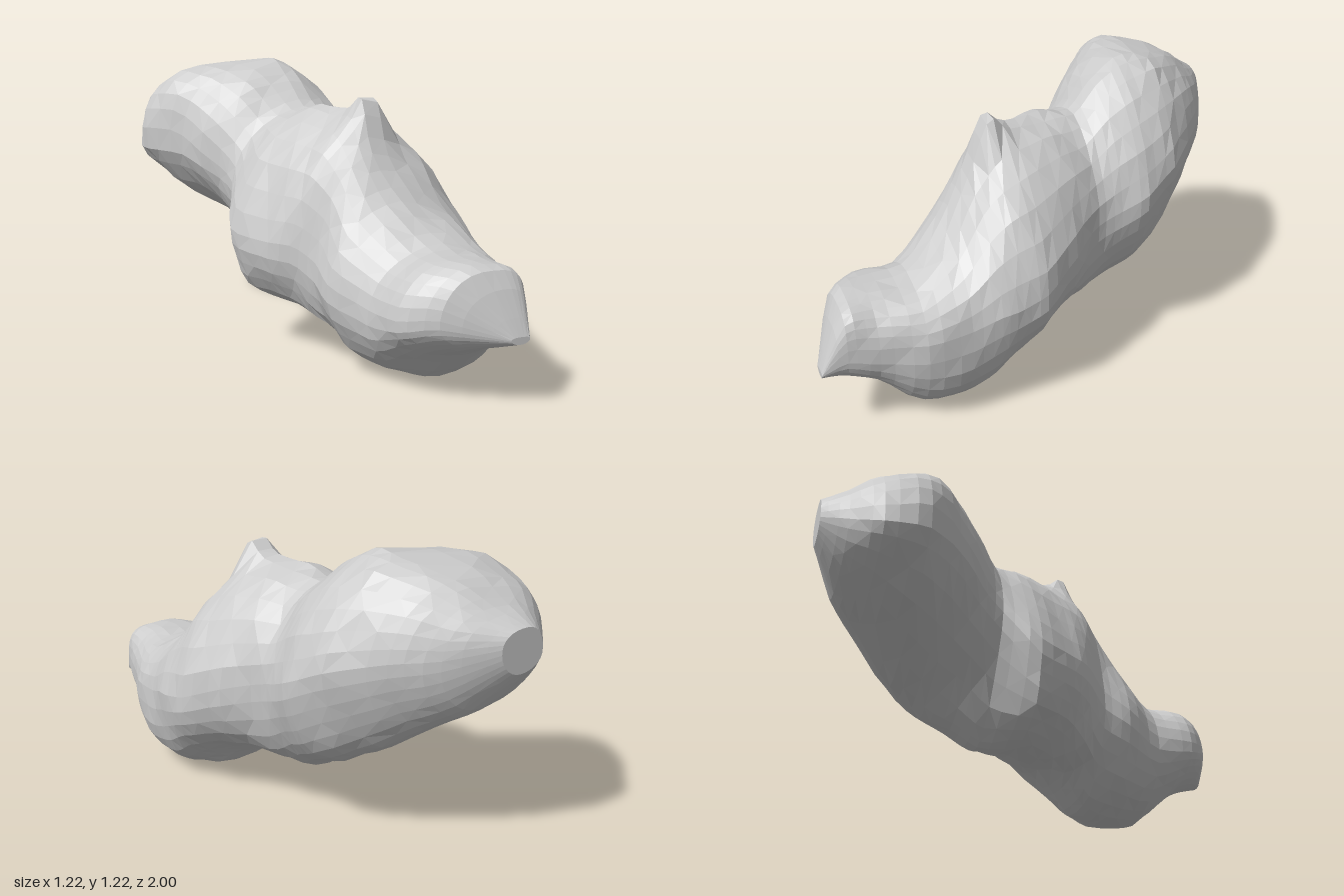
import * as THREE from 'three';

// Cross-sections from back to front, each given by its four extreme points:
// z, left x y, right x y, top x y, bottom x y
const SECTIONS = [
  [-1.0, -0.41, 0.90, -0.22, 0.93, -0.33, 1.01, -0.31, 0.83],
  [-0.9, -0.50, 0.87, -0.02, 0.88, -0.25, 1.07, -0.22, 0.67],
  [-0.78, -0.59, 0.83, 0.13, 0.85, -0.16, 1.15, -0.10, 0.57],
  [-0.6, -0.60, 0.83, 0.29, 0.78, -0.04, 1.21, 0.05, 0.42],
  [-0.45, -0.48, 0.82, 0.36, 0.70, -0.02, 1.20, 0.10, 0.33],
  [-0.33, -0.38, 0.75, 0.36, 0.64, 0.00, 1.13, 0.08, 0.27],
  [-0.22, -0.31, 0.68, 0.37, 0.60, 0.03, 1.03, 0.04, 0.19],
  [-0.07, -0.36, 0.51, 0.48, 0.54, 0.06, 1.05, -0.03, 0.185],
  [0.1, -0.28, 0.49, 0.59, 0.46, 0.11, 1.05, 0.08, 0.175],
  [0.21, -0.19, 0.48, 0.60, 0.43, 0.13, 1.00, 0.19, 0.11],
  [0.3, -0.11, 0.42, 0.60, 0.42, 0.14, 0.89, 0.24, 0.03],
  [0.42, -0.10, 0.36, 0.60, 0.38, 0.22, 0.71, 0.27, 0.00],
  [0.6, 0.00, 0.30, 0.59, 0.36, 0.32, 0.57, 0.32, 0.02],
  [0.78, 0.04, 0.31, 0.54, 0.35, 0.32, 0.56, 0.33, 0.17],
  [0.9, 0.16, 0.34, 0.52, 0.36, 0.38, 0.54, 0.38, 0.23],
  [1.0, 0.41, 0.29, 0.49, 0.29, 0.45, 0.30, 0.45, 0.27],
];
// Roundness of each quarter (below 1 is squarer, above 1 flatter) along z:
// z, top right, top left, bottom left, bottom right
const ROUNDNESS = [
  [-1.0, 0.9, 0.9, 1.0, 1.0],
  [-0.78, 1.1, 0.75, 1.25, 1.0],
  [-0.5, 1.25, 0.65, 1.5, 1.0],
  [-0.2, 1.1, 1.15, 1.4, 1.0],
  [-0.07, 1.15, 1.3, 0.95, 1.0],
  [0.1, 1.25, 1.35, 0.95, 0.95],
  [0.35, 1.15, 1.05, 1.0, 0.82],
  [0.7, 0.75, 0.9, 1.0, 0.82],
  [1.0, 0.65, 1.0, 1.0, 1.0],
];
const STEPS = 3; // rings per section
const SIDES = 30;

// Smooth blend of the sections at ring parameter t
function sectionAt(t) {
  const last = SECTIONS.length - 1;
  const i = Math.min(Math.floor(t), last - 1);
  const f = t - i;
  const pick = (k) => SECTIONS[Math.max(0, Math.min(last, k))];
  return SECTIONS[i].map((b, c) => {
    const a = pick(i - 1)[c], d = pick(i + 1)[c], e = pick(i + 2)[c];
    const m0 = (d - a) * 0.35, m1 = (e - b) * 0.35;
    const f2 = f * f, f3 = f2 * f;
    return b * (2 * f3 - 3 * f2 + 1) + m0 * (f3 - 2 * f2 + f)
      + d * (3 * f2 - 2 * f3) + m1 * (f3 - f2);
  });
}

function roundnessAt(z, quarter) {
  let i = 0;
  while (i < ROUNDNESS.length - 2 && z > ROUNDNESS[i + 1][0]) i++;
  const a = ROUNDNESS[i], b = ROUNDNESS[i + 1];
  return THREE.MathUtils.mapLinear(z, a[0], b[0], a[quarter + 1], b[quarter + 1]);
}

// Four superellipse quarters joined at the extreme points
function pointOn([z, lx, ly, rx, ry, tx, ty, bx, by], j) {
  const angle = ((j + 0.5) / SIDES) * Math.PI * 2;
  const c = Math.cos(angle), s = Math.sin(angle);
  const [sx, sy] = c >= 0 ? [rx, ry] : [lx, ly];
  const [vx, vy] = s >= 0 ? [tx, ty] : [bx, by];
  const p = roundnessAt(z, Math.floor(angle / (Math.PI / 2)));
  const u = Math.abs(c) ** p, v = Math.abs(s) ** p;
  return [vx + (sx - vx) * u, sy + (vy - sy) * v, z];
}

// Gentle irregular lumps, as a fraction of the local radius
function lumps(x, y, z) {
  return 0.018 * Math.sin(13 * x + 5 * z + 1) * Math.sin(12 * y - 7 * z)
    + 0.016 * Math.sin(27 * x - 11 * y) * Math.sin(25 * z + 9 * y);
}

// Small pointed peak on the front brow
function peak(x, y, z) {
  if (y < 0.8) return 0;
  return 0.13 * Math.exp(-((x - 0.16) ** 2) / 0.006 - ((z - 0.2) ** 2) / 0.004);
}

function rockGeometry() {
  const rings = (SECTIONS.length - 1) * STEPS;
  const positions = [], index = [];
  for (let i = 0; i <= rings; i++) {
    const s = sectionAt(i / STEPS);
    const cx = (s[1] + s[3]) / 2, cy = (s[6] + s[8]) / 2;
    for (let j = 0; j < SIDES; j++) {
      const [x, y, z] = pointOn(s, j);
      const k = 1 + lumps(x, y, z);
      const py = cy + (y - cy) * k + peak(x, y, z);
      positions.push(cx + (x - cx) * k, Math.max(0, py), z);
    }
  }
  for (let i = 0; i < rings; i++) {
    for (let j = 0; j < SIDES; j++) {
      const n = (j + 1) % SIDES;
      const a = i * SIDES + j, b = i * SIDES + n;
      const c = b + SIDES, d = a + SIDES;
      if ((i + j) % 2) index.push(a, b, c, a, c, d);
      else index.push(a, b, d, b, c, d);
    }
  }
  // Flat end faces
  const front = rings * SIDES;
  for (let j = 1; j < SIDES - 1; j++) {
    index.push(0, j + 1, j, front, front + j, front + j + 1);
  }
  const g = new THREE.BufferGeometry();
  g.setAttribute('position', new THREE.Float32BufferAttribute(positions, 3));
  g.setIndex(index);
  g.computeVertexNormals();
  return g;
}

export function createModel() {
  const group = new THREE.Group();
  group.name = 'asteroid';
  const rock = new THREE.Mesh(
    rockGeometry(),
    new THREE.MeshStandardMaterial({ color: 0xcccccc, flatShading: true }),
  );
  rock.name = 'rockBody';
  group.add(rock);
  return group;
}
